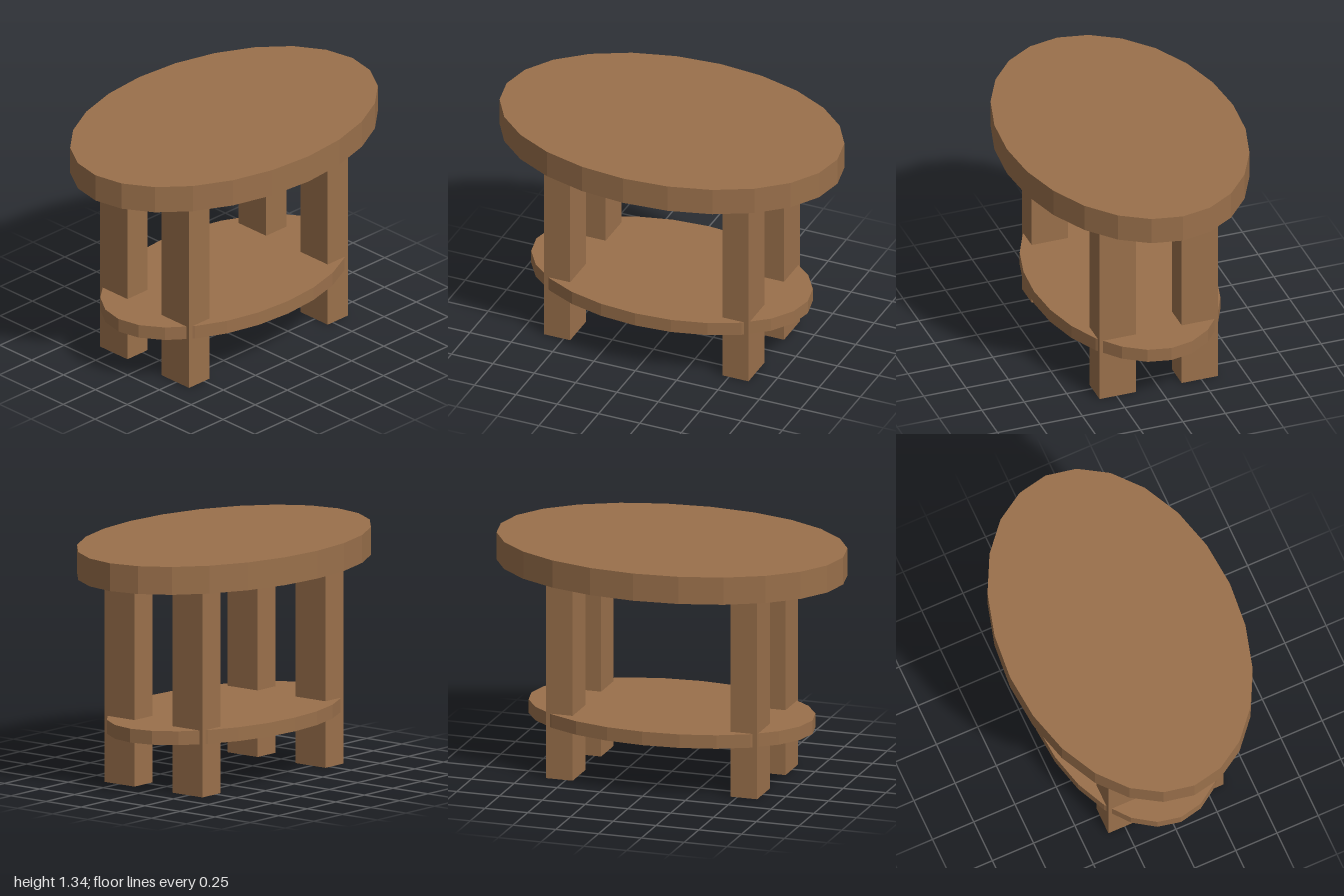
import * as THREE from 'three';

export function createModel() {
  const model = new THREE.Group();
  model.name = 'ovalTable';

  const wood = new THREE.MeshStandardMaterial({ color: 0x9a704b, flatShading: true });
  wood.name = 'brown wood';

  // Faceted oval board between two heights
  function ovalBoard(name, radiusX, radiusZ, bottom, top) {
    const geometry = new THREE.CylinderGeometry(1, 1, top - bottom, 24);
    geometry.scale(radiusX, 1, radiusZ);
    const board = new THREE.Mesh(geometry, wood);
    board.name = name;
    board.position.y = (bottom + top) / 2;
    model.add(board);
  }

  ovalBoard('tableTop', 1, 0.667, 1.178, 1.335);
  ovalBoard('lowerShelf', 0.821, 0.507, 0.297, 0.375);

  // Four square-cut legs, mirrored left to right and front to back
  const legHeight = 1.178;
  const legGeometry = new THREE.BoxGeometry(0.157, legHeight, 0.215);
  for (const [end, z] of [['front', 0.242], ['back', -0.242]]) {
    for (const [side, x] of [['Left', 0.539], ['Right', -0.539]]) {
      const leg = new THREE.Mesh(legGeometry, wood);
      leg.name = `${end}${side}Leg`;
      leg.position.set(x, legHeight / 2, z);
      model.add(leg);
    }
  }

  return model;
}
